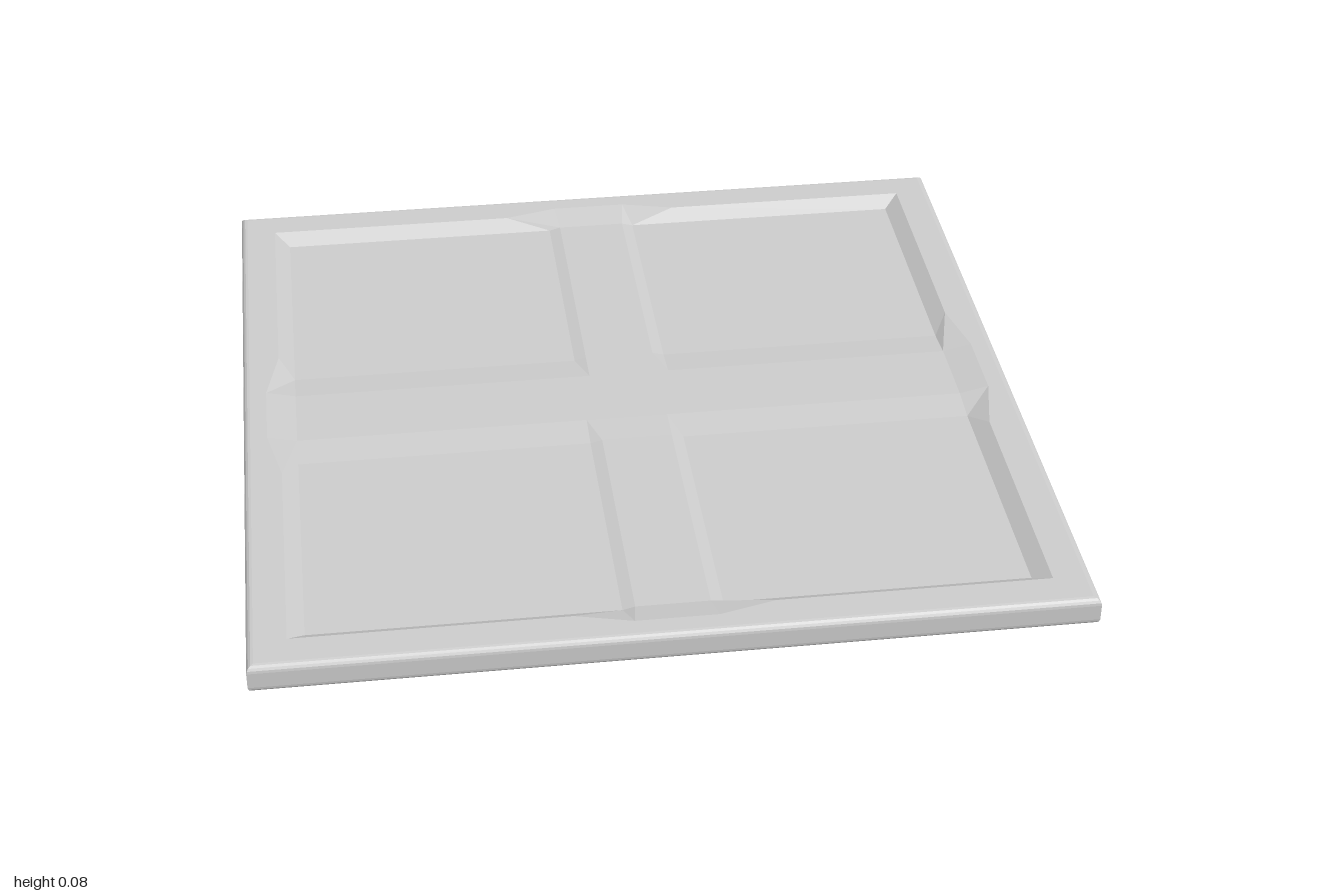
import * as THREE from 'three';

const H = 0.075;      // slab thickness
const FLOOR = 0.048;  // height of the recessed floor
const FOOT = 0.865;   // half size of the recessed floor
const RIM = 0.905;    // half size of the recess opening
const R = 0.017;      // rounded outer edge

// Ridges: plateau half width, foot half width, height, flare of the recess at the ridge end
const ridgeZ = { p: 0.09, f: 0.12, h: 0.008, flare: 0.24 }; // runs front to back
const ridgeX = { p: 0.1, f: 0.19, h: 0.01, flare: 0.26 };   // runs left to right

// Ring of 20 points around the slab: five per side, rotated about y.
// side(ridge) returns [along, out, y] points.
function ring(side) {
  const points = [];
  for (let k = 0; k < 4; k++) {
    for (const [t, d, y] of side(k % 2 ? ridgeX : ridgeZ)) {
      let x = t, z = d;
      for (let i = 0; i < k; i++) [x, z] = [z, -x];
      points.push(new THREE.Vector3(x, y, z));
    }
  }
  return points;
}

const squareRing = (d, y) =>
  ring((r) => [-d, -r.flare, -0.1, 0.1, r.flare].map((t) => [t, d, y]));

const footRing = () => ring((r) => [
  [-FOOT, FOOT, FLOOR], [-r.f, FOOT, FLOOR], [-r.p, FOOT, FLOOR + r.h],
  [r.p, FOOT, FLOOR + r.h], [r.f, FOOT, FLOOR],
]);

const rimRing = () => ring((r) => [
  [-RIM, RIM, H], [-r.flare, RIM, H], [-0.1, 0.94, H], [0.1, 0.94, H], [r.flare, RIM, H],
]);

const flip = (points) => points.map((v) => new THREE.Vector3(v.x, H - v.y, v.z));

function meshFrom(name, triangles, material) {
  const geometry = new THREE.BufferGeometry().setFromPoints(triangles);
  geometry.computeVertexNormals();
  const mesh = new THREE.Mesh(geometry, material);
  mesh.name = name;
  return mesh;
}

// Join successive rings with quads
function loft(rings) {
  const tris = [];
  for (let j = 0; j < rings.length - 1; j++) {
    const a = rings[j], b = rings[j + 1], n = a.length;
    for (let i = 0; i < n; i++) {
      const k = (i + 1) % n;
      tris.push(a[i], b[i], b[k], a[i], b[k], a[k]);
    }
  }
  return tris;
}

// Recessed floor with a shallow raised cross
function floorTriangles() {
  const cuts = ({ p, f }) => [-FOOT, -f, -p, p, f, FOOT];
  const xs = cuts(ridgeZ), zs = cuts(ridgeX);
  const rise = (v, r) => (Math.abs(v) <= r.p ? r.h : 0);
  const at = (i, j) => new THREE.Vector3(
    xs[i], FLOOR + Math.max(rise(xs[i], ridgeZ), rise(zs[j], ridgeX)), zs[j]);
  const tris = [];
  for (let i = 0; i < 5; i++) {
    for (let j = 0; j < 5; j++) {
      tris.push(at(i, j), at(i, j + 1), at(i + 1, j + 1));
      tris.push(at(i, j), at(i + 1, j + 1), at(i + 1, j));
    }
  }
  return tris;
}

export function createModel() {
  const material = new THREE.MeshStandardMaterial({ color: 0xcccccc, flatShading: true });
  const group = new THREE.Group();
  group.name = 'panel';

  // Frame: recess wall, flat rim and rounded edge, mirrored to the underside
  const upper = [footRing(), rimRing()];
  for (let i = 0; i <= 4; i++) {
    const a = (i / 4) * Math.PI / 2;
    upper.push(squareRing(1 - R + R * Math.sin(a), H - R + R * Math.cos(a)));
  }
  const lower = upper.map(flip).reverse();
  group.add(meshFrom('frame', loft([...upper, ...lower]), material));

  // Recessed floors on both faces; reversing the mirrored list turns it outward
  const floor = floorTriangles();
  group.add(meshFrom('topPanel', floor, material));
  group.add(meshFrom('bottomPanel', flip(floor).reverse(), material));

  return group;
}
